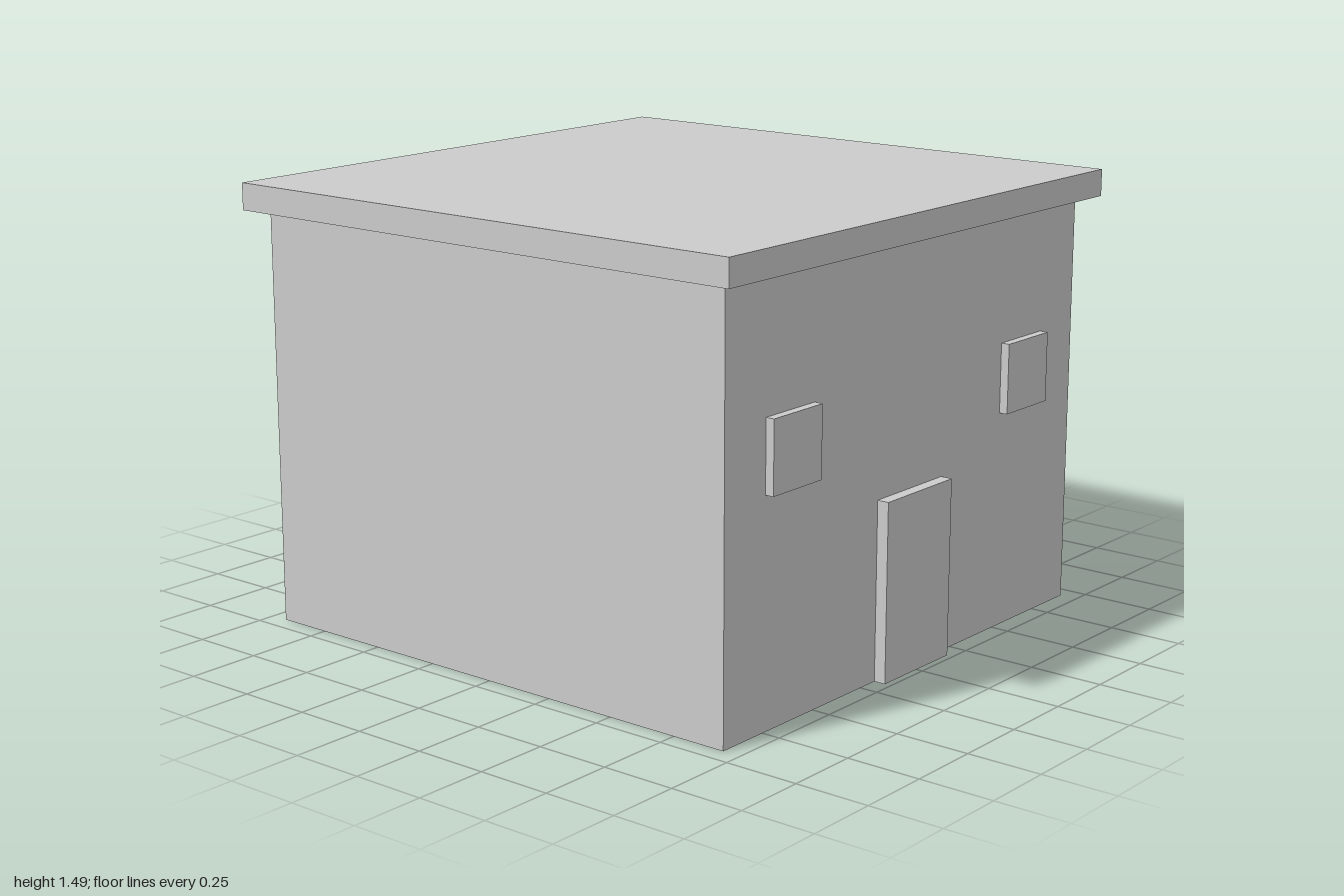
import * as THREE from 'three';

const material = new THREE.MeshStandardMaterial({ color: 0xcccccc, flatShading: true });

// Box given by its size, its base height and its centre in x and z
function addBox(group, name, [w, h, d], x, baseY, z) {
  const mesh = new THREE.Mesh(new THREE.BoxGeometry(w, h, d), material);
  mesh.name = name;
  mesh.position.set(x, baseY + h / 2, z);
  group.add(mesh);
}

export function createModel() {
  const house = new THREE.Group();
  house.name = 'house';

  const wallSize = 1.876;
  const wallHeight = 1.395;
  const front = wallSize / 2;

  addBox(house, 'walls', [wallSize, wallHeight, wallSize], 0, 0, 0);

  // Flat roof slab overhanging on all sides
  addBox(house, 'roof', [2, 0.09, 2], 0, wallHeight, 0);

  // Door and windows stand slightly proud of the front wall
  addBox(house, 'door', [0.35, 0.592, 0.08], 0, 0, front);
  for (const [name, side] of [['leftWindow', 1], ['rightWindow', -1]]) {
    addBox(house, name, [0.236, 0.234, 0.058], side * 0.627, 0.735, front);
  }

  return house;
}
